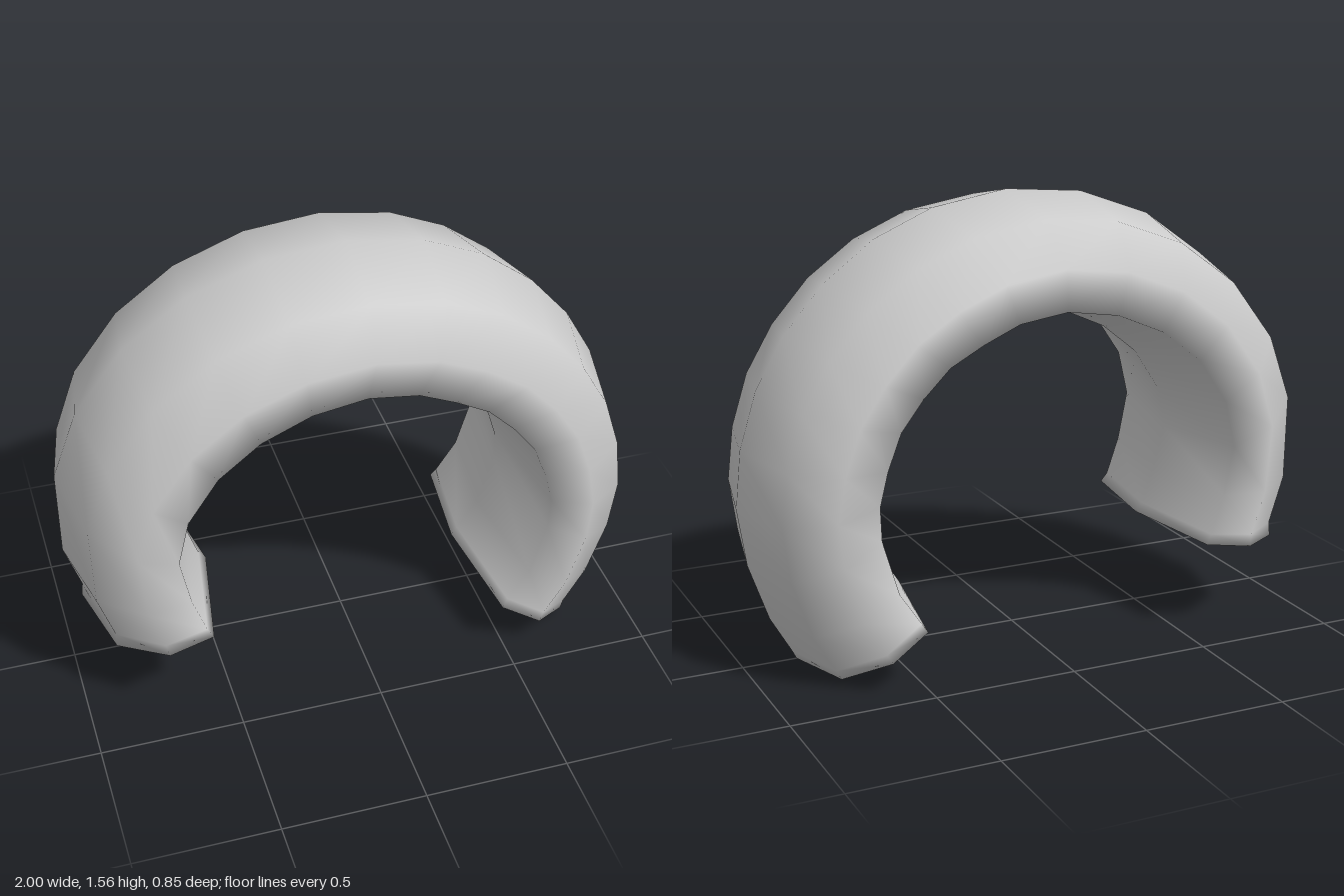
import * as THREE from 'three';

// Outer and inner edge of the ring in the xy plane, from the left end over the top to the right end
const OUTER = [
  [-0.95, 0.28], [-0.945, 0.33], [-1, 0.5], [-1, 0.82], [-0.91, 1.06], [-0.74, 1.28], [-0.52, 1.44],
  [-0.26, 1.535], [0.02, 1.56], [0.29, 1.515], [0.5, 1.425], [0.68, 1.29], [0.82, 1.13],
  [0.92, 0.955], [0.98, 0.76], [1, 0.56], [0.97, 0.36], [0.9, 0.16], [0.825, 0.03], [0.81, 0],
];
const INNER = [
  [-0.5, 0.34], [-0.525, 0.37], [-0.57, 0.5], [-0.61, 0.65], [-0.58, 0.8], [-0.485, 0.945], [-0.355, 1.05],
  [-0.2, 1.12], [-0.03, 1.15], [0.125, 1.13], [0.24, 1.08], [0.345, 1.03], [0.43, 0.95],
  [0.505, 0.86], [0.55, 0.75], [0.58, 0.65], [0.58, 0.55], [0.525, 0.36], [0.45, 0.25], [0.43, 0.22],
];
// Cross-section: [share of the way from outer to inner edge, z]; rounded outside, broad inside
const SECTION = [
  [0, 0], [0.146, 0.295], [0.5, 0.415], [0.854, 0.39],
  [1, 0], [0.854, -0.39], [0.5, -0.415], [0.146, -0.295],
];
const SIDES = SECTION.length;
const END_FLARE = 1.022;
const CAP_BULGE = 0.035;

function ringGeometry() {
  const pos = [], index = [];
  const last = OUTER.length - 1;
  const at = (i, j) => i * SIDES + (j % SIDES);

  // Cross-sections along the ring, slightly flared at both ends
  OUTER.forEach(([ox, oy], i) => {
    const [ix, iy] = INNER[i];
    const flare = i === 0 || i === last ? END_FLARE : 1;
    for (const [u, z] of SECTION) pos.push(ox + (ix - ox) * u, oy + (iy - oy) * u, z * flare);
  });

  // Skin between neighbouring sections
  for (let i = 0; i < last; i++) {
    for (let j = 0; j < SIDES; j++) {
      const a = at(i, j), b = at(i, j + 1), c = at(i + 1, j), d = at(i + 1, j + 1);
      index.push(a, b, c, b, d, c);
    }
  }

  // Bulging end caps share the rim vertices so the shading rolls over the edge
  for (const i of [0, last]) {
    const [ox, oy] = OUTER[i], [ix, iy] = INNER[i];
    const side = (i === 0 ? -1 : 1) * CAP_BULGE / Math.hypot(ox - ix, oy - iy);
    const centre = pos.length / 3;
    pos.push((ox + ix) / 2 + (oy - iy) * side, (oy + iy) / 2 - (ox - ix) * side, 0);
    for (let j = 0; j < SIDES; j++) {
      if (i === 0) index.push(centre, at(i, j + 1), at(i, j));
      else index.push(centre, at(i, j), at(i, j + 1));
    }
  }

  const geometry = new THREE.BufferGeometry();
  geometry.setAttribute('position', new THREE.Float32BufferAttribute(pos, 3));
  geometry.setIndex(index);
  geometry.computeVertexNormals();
  return geometry;
}

export function createModel() {
  const group = new THREE.Group();
  group.name = 'openRing';
  const ring = new THREE.Mesh(ringGeometry(), new THREE.MeshStandardMaterial({ color: 0xcccccc }));
  ring.name = 'ringBody';
  group.add(ring);
  return group;
}
